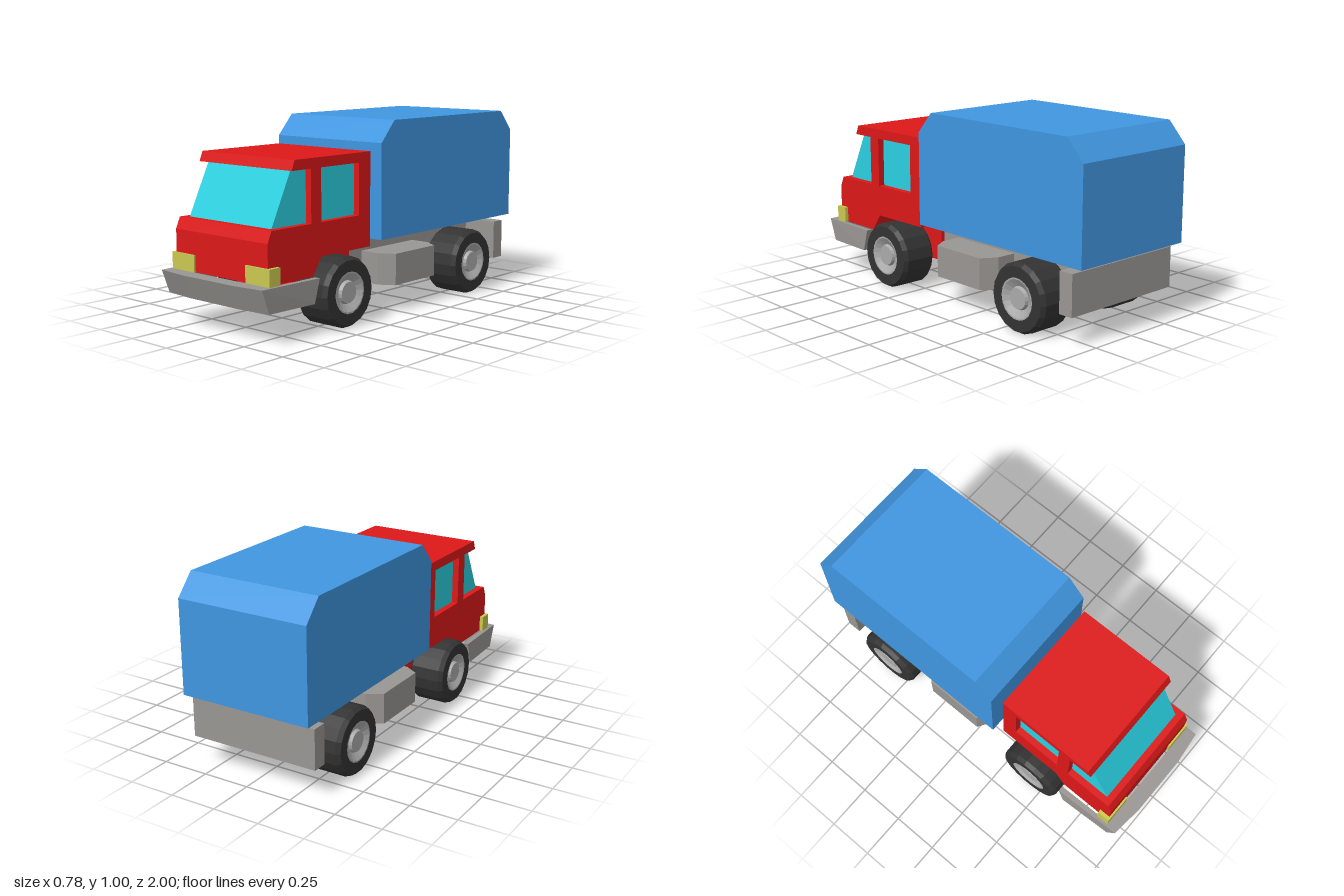
import * as THREE from 'three';

const mat = (color) => new THREE.MeshStandardMaterial({ color, flatShading: true });
const RED = mat(0xdd1818), BLUE = mat(0x4096e0), GREY = mat(0x999693), TYRE = mat(0x333333);
const RIM = mat(0xaaaaaa), GLASS = mat(0x2ad0e0), YELLOW = mat(0xcac850);

const polygon = (pts) => new THREE.Shape(pts.map(([a, b]) => new THREE.Vector2(a, b)));

// Side profile of [z, y] points, extruded across x from -half to +half
function sideExtrude(pts, half) {
  return new THREE.ExtrudeGeometry(polygon(pts), { depth: half * 2, bevelEnabled: false })
    .rotateY(-Math.PI / 2).translate(half, 0, 0);
}

// Plan outline of [x, z] points, extruded from y0 up to y1
function planExtrude(pts, y0, y1) {
  return new THREE.ExtrudeGeometry(polygon(pts), { depth: y1 - y0, bevelEnabled: false })
    .rotateX(Math.PI / 2).translate(0, y1, 0);
}

// Box given by its limits
function box(x0, x1, y0, y1, z0, z1) {
  return new THREE.BoxGeometry(x1 - x0, y1 - y0, z1 - z0)
    .translate((x0 + x1) / 2, (y0 + y1) / 2, (z0 + z1) / 2);
}

// Surface of revolution about x; points are [radius, x]
function wheelLathe(pts) {
  return new THREE.LatheGeometry(pts.map(([r, h]) => new THREE.Vector2(r, h)), 18)
    .rotateZ(-Math.PI / 2);
}

export function createModel() {
  const truck = new THREE.Group();
  truck.name = 'truck';
  const add = (name, geometry, material, parent = truck) => {
    const mesh = new THREE.Mesh(geometry, material);
    mesh.name = name;
    parent.add(mesh);
    return mesh;
  };

  // Cargo body with sloped top edges front and back
  add('cargoBox', sideExtrude([
    [0.15, 0.4], [0.15, 0.89], [0.05, 1], [-0.9, 1], [-1, 0.89], [-1, 0.4],
  ], 0.36), BLUE);

  // Cab: lower body, engine housing between the wheels, pillars and roof
  const cab = new THREE.Group();
  cab.name = 'cab';
  truck.add(cab);
  add('cabBody', sideExtrude([
    [0.19, 0.37], [0.55, 0.37], [0.61, 0.28], [0.91, 0.28], [0.91, 0.48], [0.885, 0.537], [0.19, 0.537],
  ], 0.32), RED, cab);
  add('engineHousing', sideExtrude([
    [0.19, 0.16], [0.65, 0.16], [0.55, 0.37], [0.19, 0.37],
  ], 0.18), RED, cab);
  add('rearPillar', box(-0.32, 0.32, 0.537, 0.8, 0.19, 0.275), RED, cab);
  for (const s of [-1, 1]) {
    add('doorPillar', box(0.28, 0.32, 0.537, 0.8, 0.55, 0.62).translate(s > 0 ? 0 : -0.6, 0, 0), RED, cab);
  }
  add('roof', sideExtrude([[0.19, 0.8], [0.75, 0.8], [0.73, 0.85], [0.19, 0.85]], 0.32), RED, cab);
  add('windows', sideExtrude([[0.275, 0.537], [0.85, 0.537], [0.722, 0.8], [0.275, 0.8]], 0.285), GLASS, cab);

  // Chassis and rear crossbar
  add('chassis', box(-0.16, 0.16, 0.16, 0.37, -0.86, 0.19), GREY);
  add('rearBar', box(-0.355, 0.355, 0.16, 0.37, -0.94, -0.86), GREY);

  // Wraparound front bumper, its front leaning back and its ends raked
  const half = [[0.335, 0.61], [0.365, 0.61], [0.352, 0.98], [0.17, 1]];
  const bumper = planExtrude([
    ...half, ...half.map(([x, z]) => [-x, z]).reverse(), [-0.33, 0.92], [0.33, 0.92],
  ], 0.16, 0.28);
  const p = bumper.attributes.position;
  for (let i = 0; i < p.count; i++) {
    const drop = (0.28 - p.getY(i)) / 0.12, z = p.getZ(i);
    if (z > 0.95) p.setZ(i, z - 0.045 * drop);
    else if (z < 0.7) p.setZ(i, z + 0.035 * drop);
  }
  bumper.computeVertexNormals();
  add('frontBumper', bumper, GREY);

  // Paired parts
  for (const s of [-1, 1]) {
    const side = s > 0 ? 'left' : 'right';
    add(side + 'Headlight', box(0.18, 0.34, 0.28, 0.365, 0.85, 0.92).translate(s > 0 ? 0 : -0.52, 0, 0), YELLOW);
    add(side + 'Tank', planExtrude([
      [0.155, 0.07], [0.27, 0.07], [0.35, 0.02], [0.35, -0.305], [0.27, -0.355], [0.155, -0.355],
    ].map(([x, z]) => [x * s, z]), 0.145, 0.31), GREY);

    for (const [end, z] of [['Front', 0.42], ['Rear', -0.61]]) {
      const wheel = new THREE.Group();
      wheel.name = side + end + 'Wheel';
      wheel.position.set(0, 0.18, z);
      if (s < 0) wheel.rotation.y = Math.PI;
      truck.add(wheel);
      add('tyre', wheelLathe([
        [0, 0.19], [0.165, 0.19], [0.178, 0.205], [0.178, 0.365], [0.163, 0.388], [0.105, 0.388], [0.105, 0.365],
      ]), TYRE, wheel);
      add('rim', wheelLathe([
        [0.106, 0.388], [0.098, 0.388], [0.06, 0.365], [0.053, 0.382], [0, 0.382],
      ]), RIM, wheel);
    }
  }
  return truck;
}
